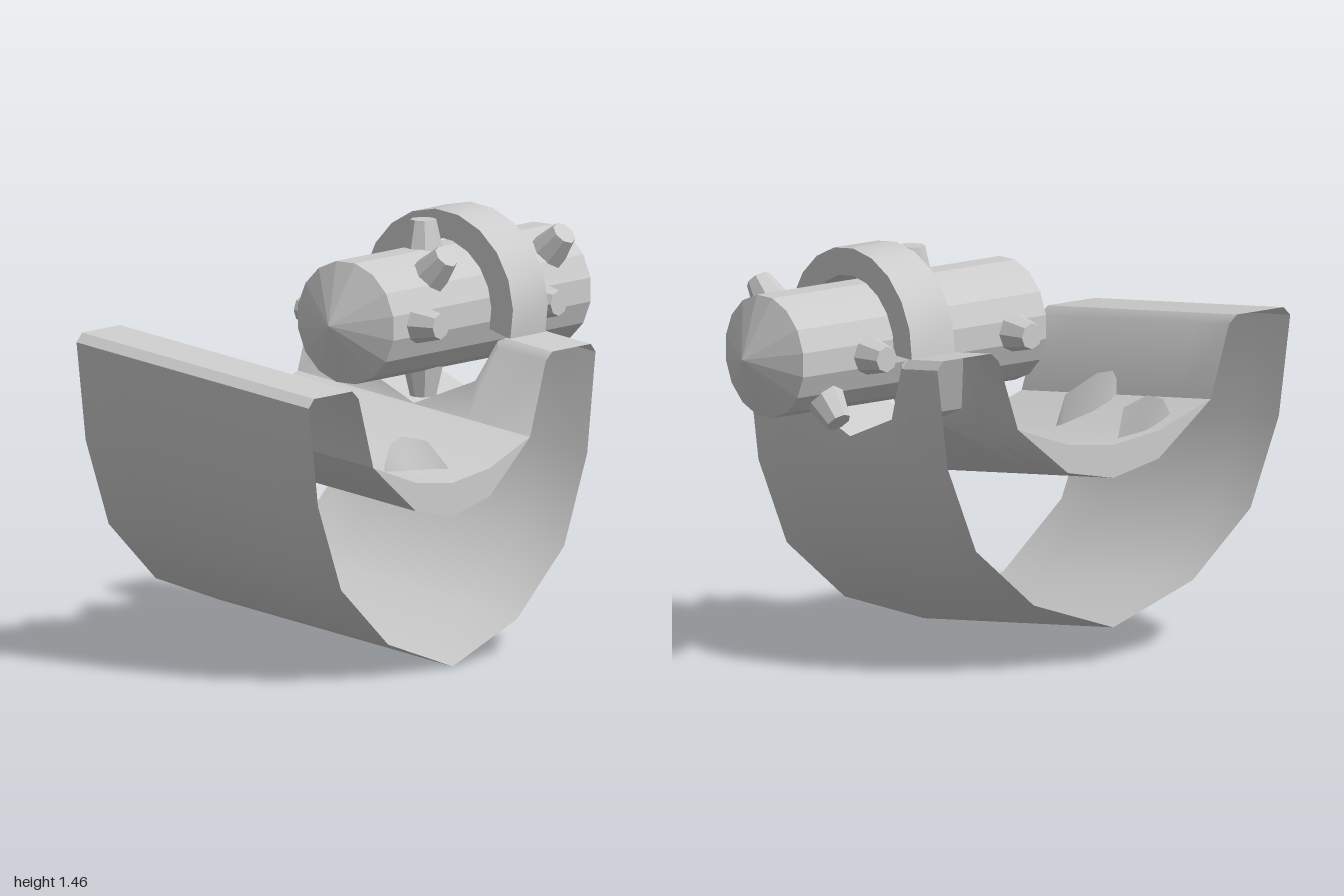
import * as THREE from 'three';
import { toCreasedNormals } from 'three/addons/utils/BufferGeometryUtils.js';

const HALF = 0.51;
const AXIS_Y = 1.13;
const lift = z => (HALF - z) * 0.125 / (2 * HALF); // trough rises toward the back

// Skins consecutive rows of points; closed joins the end of each row to its start
function loft(rows, closed, crease = 0.6) {
  const n = rows[0].length, index = [];
  for (let i = 0; i < rows.length - 1; i++) {
    for (let j = 0; j < (closed ? n : n - 1); j++) {
      const k = (j + 1) % n, a = i * n, b = a + n;
      index.push(a + j, a + k, b + j, a + k, b + k, b + j);
    }
  }
  const g = new THREE.BufferGeometry();
  g.setAttribute('position', new THREE.Float32BufferAttribute(rows.flat(2), 3));
  g.setIndex(index);
  return toCreasedNormals(g, crease);
}

export function createModel() {
  const model = new THREE.Group();
  const smooth = new THREE.MeshStandardMaterial({ color: 0xcccccc, side: THREE.DoubleSide });
  const flat = new THREE.MeshStandardMaterial({ color: 0xcccccc, side: THREE.DoubleSide, flatShading: true });
  const add = (name, geometry, material, parent = model) => {
    const mesh = new THREE.Mesh(geometry, material);
    mesh.name = name;
    parent.add(mesh);
    return mesh;
  };

  // Trough: hollow, open-ended section; the right rim is lowered to form a notch
  const outerWall = [[-1, 0.99], [-0.95, 0.645], [-0.825, 0.34], [-0.57, 0.12], [-0.22, 0],
    [0.13, 0.12], [0.385, 0.34], [0.51, 0.645]];
  const rim = [[0.555, 0.99], [0.53, 1.02], [0.32, 1.02], [0.285, 0.99]];
  const basin = [[0.2, 0.74], [-0.02, 0.562], [-0.22, 0.52], [-0.42, 0.562], [-0.65, 0.74]];
  const leftRim = [[-0.73, 0.99], [-0.765, 1.02], [-0.97, 1.02]];
  const stations = [[-HALF, 9], [-0.325, 9], [-0.32, 1.11], [-0.235, 0.9], [0, 0.805],
    [0.235, 0.9], [0.3, 1.04], [0.305, 9], [HALF, 9]];
  const sections = stations.map(([z, cut]) => {
    const s = lift(z), limit = cut - s;
    const lowered = rim.map(([x, y], i) => {
      if (y <= limit) return [x, y];
      const [low, high] = i < 2 ? [outerWall[7], rim[0]] : [basin[0], rim[3]];
      const t = Math.min(1, (limit - low[1]) / (high[1] - low[1]));
      return [low[0] + t * (high[0] - low[0]), limit];
    });
    return [...outerWall, ...lowered, ...basin, ...leftRim].map(([x, y]) => [x, y + s, z]);
  });
  add('trough', loft(sections, true), smooth);

  // Filling: crescent section with a shallow upper surface
  const surface = [[-0.42, 0.66], [-0.22, 0.635], [-0.02, 0.66]];
  const crescent = new THREE.Shape([...basin, ...surface].map(p => new THREE.Vector2(...p)));
  const fill = new THREE.ExtrudeGeometry(crescent, { depth: 2 * HALF, bevelEnabled: false });
  fill.translate(0, 0, -HALF);
  const pos = fill.attributes.position;
  for (let i = 0; i < pos.count; i++) pos.setY(i, pos.getY(i) + lift(pos.getZ(i)));
  add('filling', toCreasedNormals(fill, 0.6), smooth);

  // Curved fins standing out of the filling: [x, z, top y] along each crest
  const fins = [
    [[-0.55, -0.42, 0.8], [-0.48, -0.46, 0.88], [-0.4, -0.475, 0.905], [-0.31, -0.455, 0.87], [-0.295, -0.44, 0.75]],
    [[-0.65, 0, 0.86], [-0.61, -0.03, 0.895], [-0.53, -0.045, 0.9], [-0.43, 0.005, 0.83], [-0.415, 0.04, 0.71]],
    [[-0.38, 0.34, 0.7], [-0.31, 0.31, 0.76], [-0.25, 0.315, 0.78], [-0.16, 0.35, 0.755], [-0.11, 0.42, 0.645]],
  ];
  for (const crest of fins) {
    const lean = [0, 0.02, 0.03, 0.02, 0];
    const foot = crest.map(([x, z, y], i) => [x, Math.min(y, 0.64 + lift(z)), z + lean[i]]);
    add('fin', loft([foot, crest.map(([x, z, y]) => [x, y, z])], false), smooth);
  }

  // Log: faceted cylinder with pointed ends
  const log = new THREE.Group();
  log.name = 'studdedLog';
  log.position.y = AXIS_Y;
  model.add(log);
  const profile = [[0, -0.265], [0.213, -0.17], [0.213, 0.9], [0, 1]].map(p => new THREE.Vector2(...p));
  const body = new THREE.LatheGeometry(profile, 16, Math.PI / 16).rotateZ(-Math.PI / 2);
  add('logBody', body, flat, log);

  // Tapered studs: [x, angle in degrees from the front, turning upward]
  const studs = [[-0.03, 0], [-0.03, 180], [0.61, 0], [0.61, 180], [0.11, 45], [0.11, 225],
    [0.75, 45], [0.75, 225], [0.25, 90], [0.25, 270]];
  for (const [x, degrees] of studs) {
    const g = new THREE.CylinderGeometry(0.045, 0.073, 0.125, 8);
    g.translate(0, 0.2425, 0).rotateX(THREE.MathUtils.degToRad(90 - degrees));
    add('stud', g, flat, log).position.x = x;
  }

  // Strap arching over the log from one side of the notch to the other
  const arch = [];
  const steps = 11, from = -0.03, to = Math.PI + 0.27;
  const onArc = (r, i) => {
    const a = from + (to - from) * i / steps;
    return new THREE.Vector2(r * Math.cos(a), r * Math.sin(a));
  };
  for (let i = 0; i <= steps; i++) arch.push(onArc(0.33, i));
  for (let i = steps; i >= 0; i--) arch.push(onArc(0.235, i));
  const strap = new THREE.ExtrudeGeometry(new THREE.Shape(arch), { depth: 0.19, bevelEnabled: false });
  strap.rotateY(Math.PI / 2).translate(0.33, 0, 0);
  add('strap', toCreasedNormals(strap, 0.6), smooth, log);

  return model;
}
